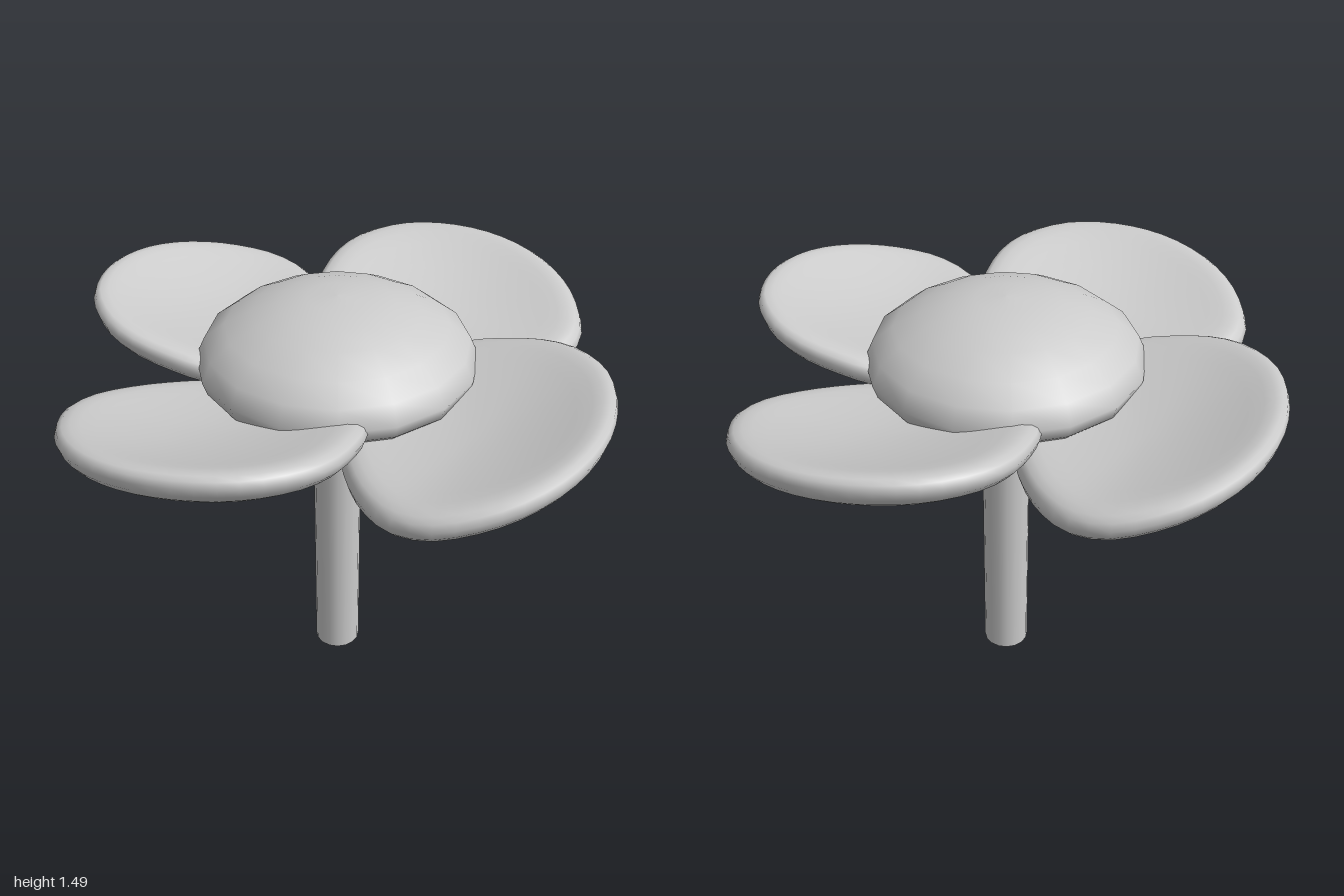
import * as THREE from 'three';

const SIDES = 44;
const TILT_X = 0.166, TILT_Z = 0.158, DISH = 0.06;

// One thick dished petal pointing to +z, made of shrunken copies of its outline on a tilted plane
function petalGeometry() {
  const outline = new THREE.CatmullRomCurve3([
    [-0.47, 0.67], [-0.435, 0.79], [-0.3, 0.92], [-0.15, 0.985], [0, 1], [0.15, 0.97],
    [0.3, 0.89], [0.42, 0.77], [0.485, 0.61], [0.485, 0.49], [0.45, 0.38], [0.37, 0.24],
    [0.21, 0.13], [-0.08, 0.16], [-0.27, 0.28], [-0.39, 0.43], [-0.45, 0.56],
  ].map(([x, z]) => new THREE.Vector3(x, 0, z)), true).getSpacedPoints(SIDES).slice(0, SIDES);

  // [scale of outline, half thickness]: top face, round rim, underside
  const top = [[0, 0.052], [0.25, 0.052], [0.5, 0.054], [0.7, 0.057], [0.81, 0.057],
    [0.88, 0.053], [0.94, 0.043], [0.98, 0.026]];
  const rings = [...top, [1, 0], ...top.map(([s, h]) => [s, -h]).reverse()];

  const position = [], index = [];
  const cz = 0.6;
  for (const [s, h] of rings) {
    for (const p of outline) {
      const x = p.x * s, z = cz + (p.z - cz) * s;
      position.push(x, 1.152 + TILT_X * x + TILT_Z * z - DISH * (1 - s * s) + h, z);
    }
  }
  for (let i = 0; i < rings.length - 1; i++) {
    for (let j = 0; j < SIDES; j++) {
      const k = (j + 1) % SIDES;
      const a = i * SIDES + j, b = a + SIDES, c = (i + 1) * SIDES + k, d = i * SIDES + k;
      if (rings[i + 1][0] > 0) index.push(a, b, c);
      if (rings[i][0] > 0) index.push(a, c, d);
    }
  }
  const geometry = new THREE.BufferGeometry();
  geometry.setAttribute('position', new THREE.Float32BufferAttribute(position, 3));
  geometry.setIndex(index);
  geometry.computeVertexNormals();
  // The points at the middle of each face take the normal of the tilted plane
  const n = geometry.attributes.normal;
  const pole = new THREE.Vector3(-TILT_X, 1, -TILT_Z).normalize();
  for (let j = 0; j < SIDES; j++) {
    n.setXYZ(j, pole.x, pole.y, pole.z);
    n.setXYZ(n.count - 1 - j, -pole.x, -pole.y, -pole.z);
  }
  return geometry;
}

export function createModel() {
  const model = new THREE.Group();
  model.name = 'flower';
  const material = new THREE.MeshStandardMaterial({ color: 0xcccccc });
  const add = (name, geometry) => {
    const mesh = new THREE.Mesh(geometry, material);
    mesh.name = name;
    model.add(mesh);
    return mesh;
  };

  // Stem
  add('stem', new THREE.CylinderGeometry(0.083, 0.083, 1, 16)).position.y = 0.5;

  // Domed centre on a flared cup
  const profile = [[0.083, 0.98], [0.26, 1.08], [0.39, 1.165], [0.455, 1.225], [0.47, 1.27],
    [0.44, 1.335], [0.37, 1.39], [0.28, 1.437], [0.19, 1.467], [0.1, 1.485], [0, 1.49]];
  add('flowerCentre', new THREE.LatheGeometry(profile.map(([x, y]) => new THREE.Vector2(x, y)), 16));

  // Four petals, each a quarter turn from the last
  const petal = petalGeometry();
  for (let i = 0; i < 4; i++) add('petal' + (i + 1), petal).rotation.y = i * Math.PI / 2;

  return model;
}
